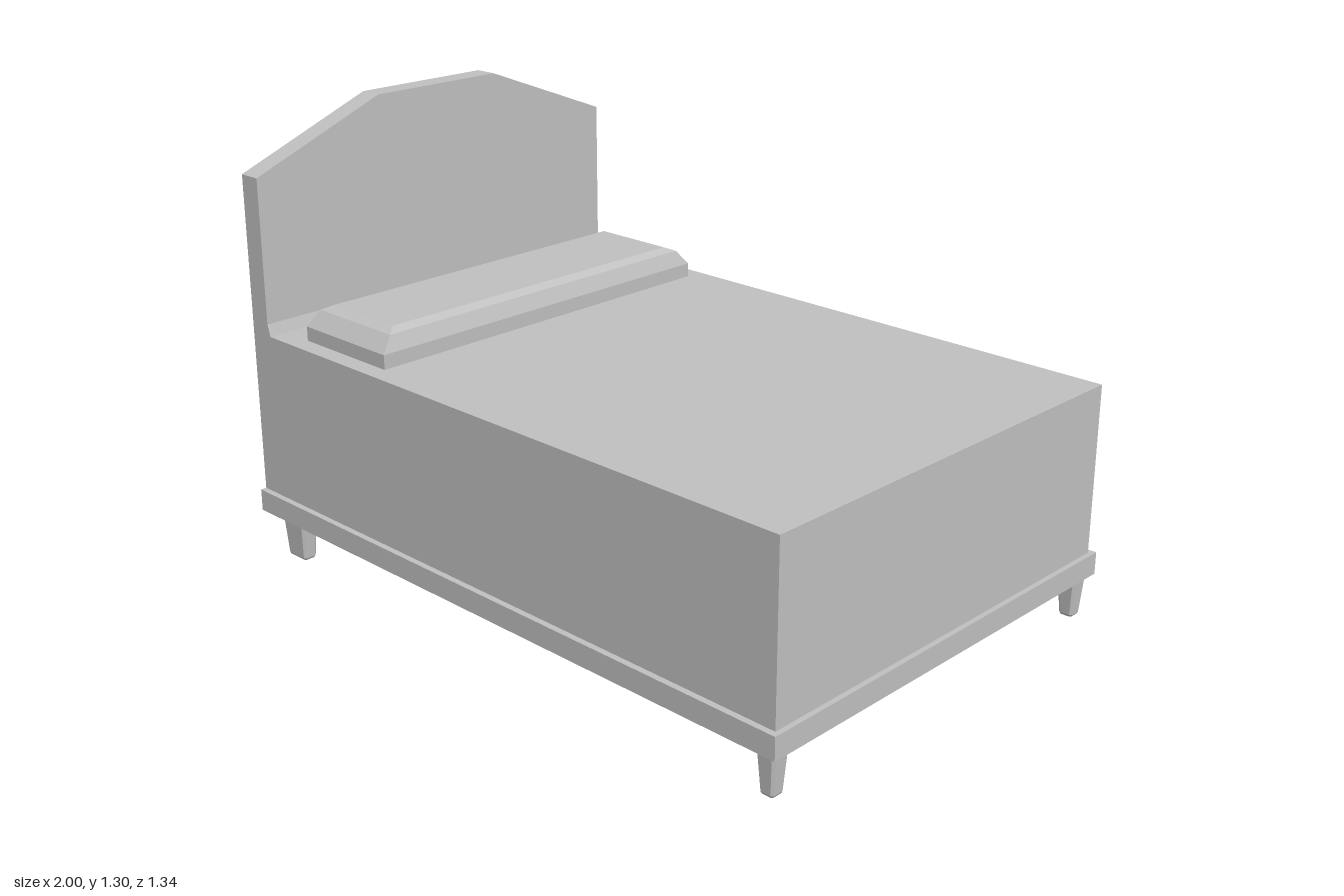
import * as THREE from 'three';

const grey = new THREE.MeshStandardMaterial({ color: 0xc0c0c0 });
grey.name = 'grey';

// Rectangle outline in x/z; an optional chamfer cuts the corners.
function rectRing(y, hx, hz, c = 0) {
  const ring = [];
  for (const [sx, sz, alongX] of [[1, 1, 1], [1, -1, 0], [-1, -1, 1], [-1, 1, 0]]) {
    if (!c) { ring.push([sx * hx, y, sz * hz]); continue; }
    const a = [sx * (hx - c), y, sz * hz];
    const b = [sx * hx, y, sz * (hz - c)];
    ring.push(...(alongX ? [a, b] : [b, a]));
  }
  return ring;
}

// Flat-faced solid through rings listed from bottom to top.
function loft(rings) {
  const pos = [];
  const n = rings[0].length;
  const tri = (a, b, c) => pos.push(...a, ...b, ...c);
  for (let r = 0; r < rings.length - 1; r++) {
    for (let i = 0; i < n; i++) {
      const j = (i + 1) % n;
      const [lo, hi] = [rings[r], rings[r + 1]];
      tri(lo[i], lo[j], hi[j]);
      tri(lo[i], hi[j], hi[i]);
    }
  }
  const bottom = rings[0], top = rings[rings.length - 1];
  for (let i = 1; i < n - 1; i++) {
    tri(bottom[0], bottom[i + 1], bottom[i]);
    tri(top[0], top[i], top[i + 1]);
  }
  const g = new THREE.BufferGeometry();
  g.setAttribute('position', new THREE.Float32BufferAttribute(pos, 3));
  g.computeVertexNormals();
  return g;
}

// Box given by its limits on each axis.
function slab(x0, x1, y0, y1, hz) {
  return new THREE.BoxGeometry(x1 - x0, y1 - y0, 2 * hz)
    .translate((x0 + x1) / 2, (y0 + y1) / 2, 0);
}

function extrude(points, depth) {
  const shape = new THREE.Shape(points.map(([x, y]) => new THREE.Vector2(x, y)));
  return new THREE.ExtrudeGeometry(shape, { depth, bevelEnabled: false });
}

export function createModel() {
  const bed = new THREE.Group();
  bed.name = 'bed';
  const add = (name, geometry, x = 0, z = 0) => {
    const mesh = new THREE.Mesh(geometry, grey);
    mesh.name = name;
    mesh.position.set(x, 0, z);
    bed.add(mesh);
  };

  // Base and mattress
  add('baseFrame', slab(-1, 1, 0.12, 0.185, 0.67));
  add('mattress', slab(-0.93, 0.985, 0.185, 0.675, 0.652));

  // Headboard with sloping shoulders
  const headboard = extrude([
    [-0.652, 0.185], [0.652, 0.185], [0.652, 1.135],
    [0.22, 1.305], [-0.22, 1.305], [-0.652, 1.135],
  ], 0.07);
  add('headboard', headboard.rotateY(Math.PI / 2), -1);

  // Small sloped strip where headboard meets mattress
  add('headboardFillet', extrude([[-0.93, 0.67], [-0.918, 0.67], [-0.93, 0.71]], 1.304), 0, -0.652);

  // Pillow with bevelled top
  add('pillow', loft([
    rectRing(0.67, 0.174, 0.597),
    rectRing(0.717, 0.174, 0.597),
    rectRing(0.762, 0.157, 0.56),
    rectRing(0.775, 0.132, 0.53),
  ]), -0.643);

  // Tapered legs, wider at the head end
  for (const [name, x, hx] of [['headLeg', -0.873, 0.049], ['footLeg', 0.955, 0.03]]) {
    for (const side of [1, -1]) {
      const leg = loft([
        rectRing(0, hx - 0.012, 0.018, 0.005),
        rectRing(0.006, hx - 0.009, 0.021, 0.006),
        rectRing(0.125, hx, 0.028, 0.007),
      ]);
      add(name + (side > 0 ? 'Front' : 'Back'), leg, x, side * 0.626);
    }
  }
  return bed;
}
